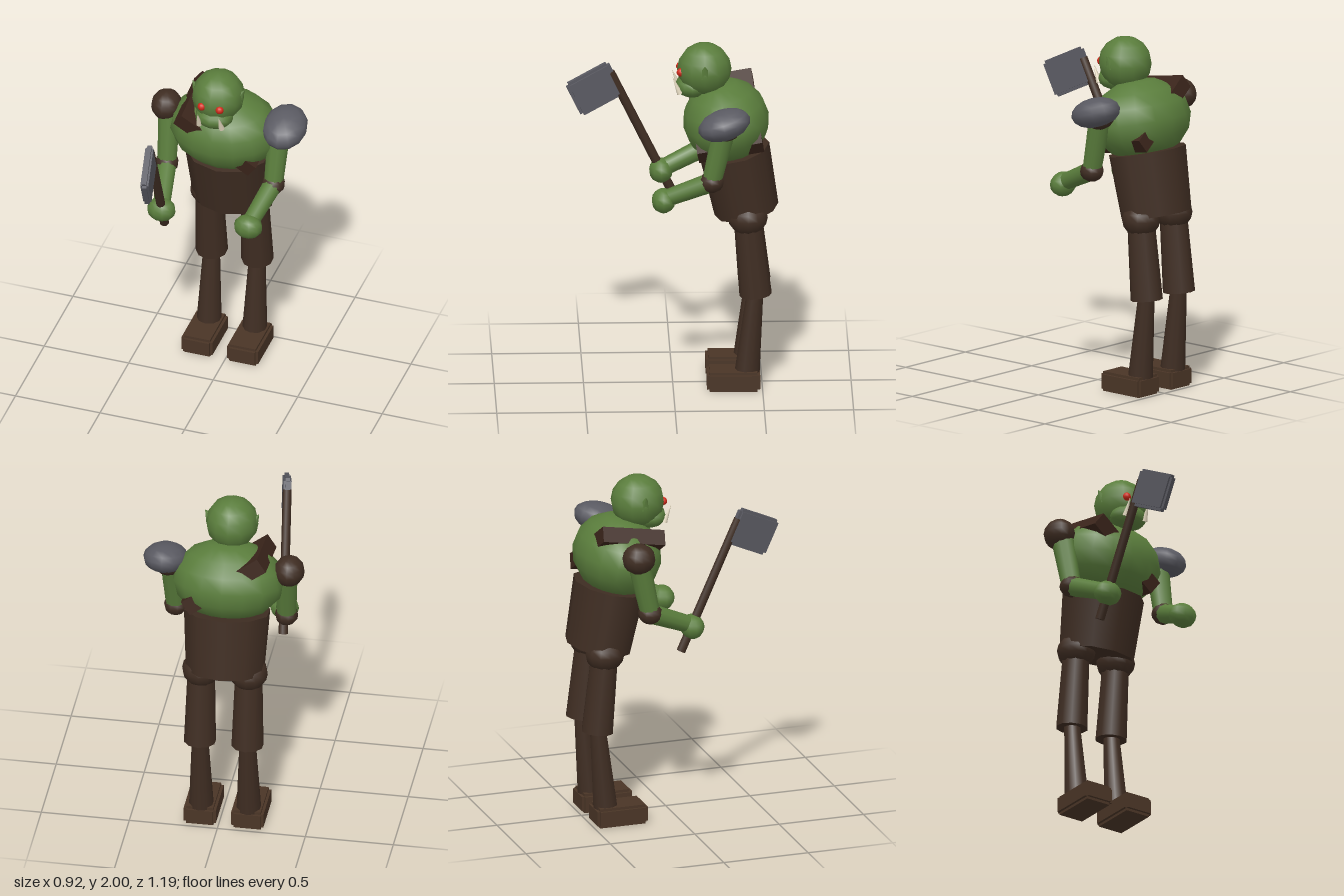
import * as THREE from 'three';

const mat = (name, color) => new THREE.MeshStandardMaterial({ name, color });
const V = (x, y, z) => new THREE.Vector3(x, y, z);

export function createModel() {
  const skin = mat('skin green', 0x5a7d3c);
  const leather = mat('dark leather', 0x3f2d22);
  const bootLeather = mat('boot leather', 0x4a3526);
  const strapLeather = mat('strap leather', 0x3b251b);
  const steel = mat('steel', 0x5a5a62);
  const eyeRed = mat('eye red', 0xd02818);
  const ivory = mat('tusk ivory', 0xe0d5bc);

  const model = new THREE.Group();
  model.name = 'axeWarrior';
  const body = new THREE.Group();
  body.name = 'body';
  body.position.x = -0.03;
  model.add(body);

  const add = (parent, name, geo, material, pos = V(0, 0, 0)) => {
    const mesh = new THREE.Mesh(geo, material);
    mesh.name = name;
    mesh.position.copy(pos);
    parent.add(mesh);
    return mesh;
  };
  // Ellipsoid with radii rx, ry, rz
  const ball = (parent, name, material, pos, rx, ry = rx, rz = rx, seg = 12) => {
    const mesh = add(parent, name, new THREE.SphereGeometry(1, seg, 8), material, pos);
    mesh.scale.set(rx, ry, rz);
    return mesh;
  };
  // Tapered limb from a (radius ra) to b (radius rb)
  const limb = (parent, name, material, a, b, ra, rb, seg = 10) => {
    const dir = b.clone().sub(a);
    const mesh = add(parent, name, new THREE.CylinderGeometry(rb, ra, dir.length(), seg),
      material, a.clone().add(b).multiplyScalar(0.5));
    mesh.quaternion.setFromUnitVectors(V(0, 1, 0), dir.normalize());
    return mesh;
  };
  // Block with stepped edges: a core pushed out along each axis in turn
  const steppedBlock = (parent, name, material, pos, size, step) => {
    const group = new THREE.Group();
    group.name = name;
    group.position.copy(pos);
    for (let axis = 0; axis < 3; axis++) {
      const s = size.map((v, i) => (i === axis ? v : v - step[i]));
      add(group, name + 'Layer', new THREE.BoxGeometry(...s), material);
    }
    parent.add(group);
    return group;
  };

  // Torso: chest, tunic and a broad diagonal strap, all leaning forward
  ball(body, 'chest', skin, V(0, 1.545, -0.3), 0.32, 0.23, 0.243, 16).rotation.x = 0.17;
  const tunic = add(body, 'tunic', new THREE.CylinderGeometry(0.247, 0.225, 0.363, 10),
    leather, V(0, 1.194, -0.38));
  tunic.scale.z = 0.81;
  tunic.rotation.x = 0.19;
  const strapPivot = new THREE.Group();
  strapPivot.name = 'strapLean';
  strapPivot.position.set(0, 1.57, -0.295);
  strapPivot.rotation.x = 0.17;
  body.add(strapPivot);
  add(strapPivot, 'chestStrap', new THREE.BoxGeometry(0.52, 0.09, 0.37), strapLeather)
    .rotation.z = -0.62;

  // Head and jaw
  ball(body, 'head', skin, V(0, 1.85, -0.178), 0.149, 0.15, 0.153);
  ball(body, 'jaw', skin, V(0, 1.755, -0.11), 0.11, 0.068, 0.095);

  for (const s of [-1, 1]) {
    const side = s > 0 ? 'left' : 'right';
    const P = (x, y, z) => V(s * x, y, z);

    // Face
    ball(body, side + 'Eye', eyeRed, P(0.053, 1.847, -0.045), 0.024);
    limb(body, side + 'Tusk', ivory, P(0.066, 1.725, -0.04), P(0.062, 1.82, 0), 0.017, 0.001, 8);
    limb(body, side + 'Ear', skin, P(0.115, 1.85, -0.178), P(0.152, 1.912, -0.178), 0.038, 0.002, 6);

    // Arm
    const shoulder = P(0.325, 1.62, -0.285);
    const elbow = P(0.315, 1.285, -0.21);
    const wrist = P(0.257, 1.165, 0.06);
    limb(body, side + 'UpperArm', skin, shoulder, elbow, 0.066, 0.055);
    limb(body, side + 'Forearm', skin, elbow, wrist, 0.056, 0.048);
    ball(body, side + 'ElbowGuard', leather, elbow, 0.066, 0.06, 0.07, 10);
    ball(body, side + 'Hand', skin, P(0.257, 1.158, 0.058), 0.083, 0.07, 0.068, 10);
    ball(body, side + 'ShoulderCap', leather, P(0.343, 1.628, -0.287), 0.087, 0.088, 0.095);

    // Leg
    ball(body, side + 'Hip', leather, P(0.135, 1.01, -0.418), 0.108, 0.1, 0.112);
    limb(body, side + 'Thigh', leather, P(0.135, 0.985, -0.42), P(0.135, 0.553, -0.462), 0.078, 0.091);
    limb(body, side + 'Shin', leather, P(0.135, 0.56, -0.458), P(0.135, 0.1, -0.415), 0.047, 0.07);
    steppedBlock(body, side + 'Boot', bootLeather, P(0.135, 0.057, -0.337),
      [0.183, 0.113, 0.298], [0.03, 0.03, 0.03]);
  }

  // Steel plate over the left shoulder
  ball(body, 'steelShoulderPlate', steel, V(0.36, 1.64, -0.28), 0.127, 0.085, 0.152).rotation.x = 0.3;

  // Axe held in the right hand
  const axe = new THREE.Group();
  axe.name = 'axe';
  model.add(axe);
  const foot = V(-0.292, 1.02, -0.01), top = V(-0.255, 1.755, 0.342);
  limb(axe, 'axeHandle', leather, foot, top, 0.027, 0.025, 8);
  const blade = steppedBlock(axe, 'axeBlade', steel, V(-0.237, 1.664, 0.43),
    [0.046, 0.215, 0.275], [0.02, 0.032, 0.032]);
  const up = top.clone().sub(foot).normalize();
  const across = V(0, 0, 0).crossVectors(up, V(0.17, -0.43, 0.86)).normalize();
  const forward = V(0, 0, 0).crossVectors(across, up);
  blade.quaternion.setFromRotationMatrix(new THREE.Matrix4().makeBasis(across, up, forward));

  return model;
}
